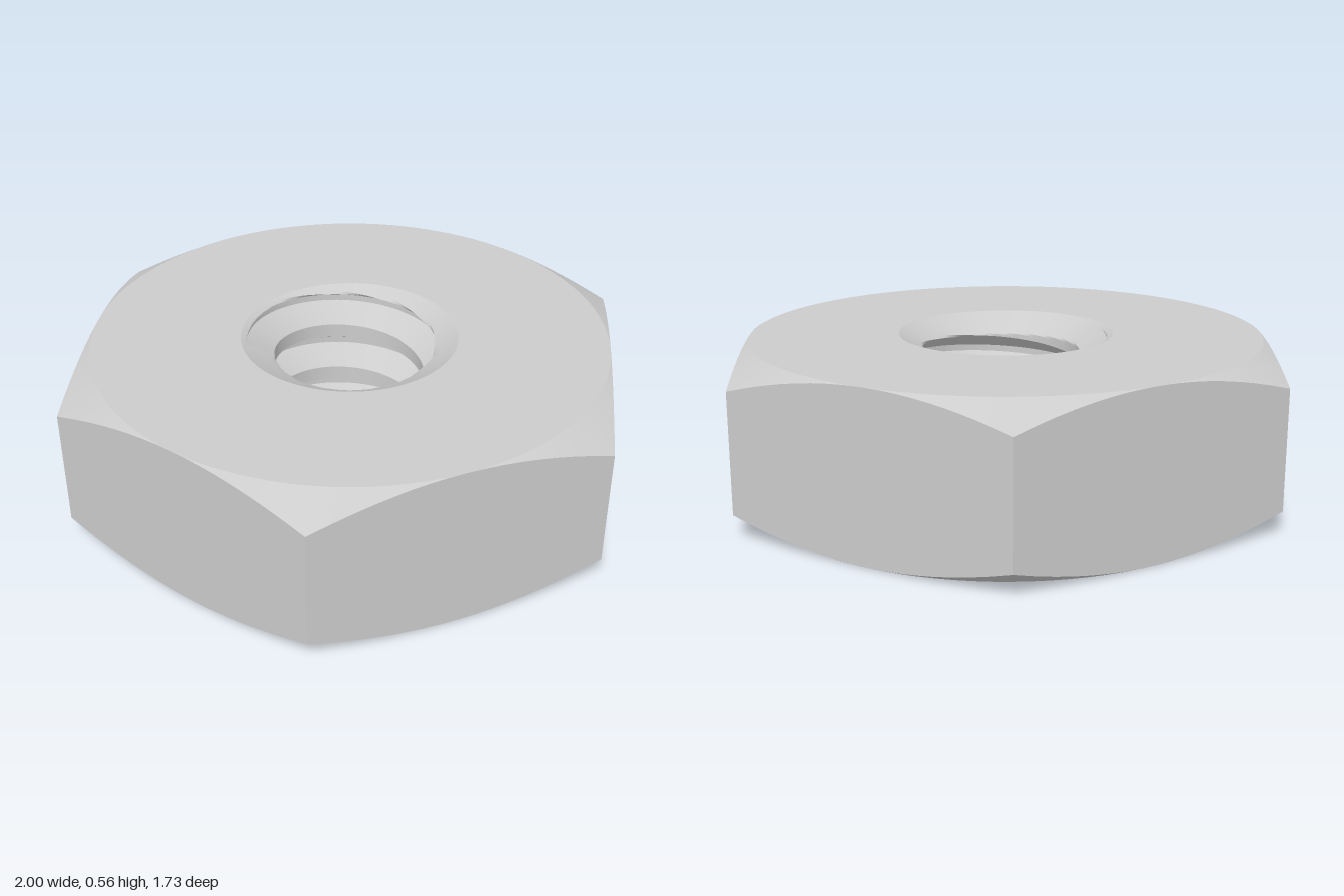
import * as THREE from 'three';
import { toCreasedNormals } from 'three/addons/utils/BufferGeometryUtils.js';

const HEIGHT = 0.555, APOTHEM = 0.866, SLOPE = Math.tan(Math.PI / 6);
const MOUTH = 0.365, MINOR = 0.255, MAJOR = 0.345, PITCH = 0.175;
const SEGMENTS = 96;

// Skin a list of closed rows; each row is a function angle -> [radius, y]
function loft(rows) {
  const positions = [];
  const points = rows.map((row) => Array.from({ length: SEGMENTS + 1 }, (_, j) => {
    const a = (j / SEGMENTS) * Math.PI * 2;
    const [r, y] = row(a);
    return new THREE.Vector3(-r * Math.cos(a), y, -r * Math.sin(a));
  }));
  const side = new THREE.Vector3(), other = new THREE.Vector3();
  const triangle = (a, b, c) => {
    side.subVectors(b, a);
    other.subVectors(c, a);
    if (side.cross(other).length() < 1e-9) return; // skip collapsed faces
    for (const p of [a, b, c]) positions.push(p.x, p.y, p.z);
  };
  for (let i = 0; i + 1 < points.length; i++) {
    for (let j = 0; j < SEGMENTS; j++) {
      const a = points[i], b = points[i + 1];
      triangle(a[j], a[j + 1], b[j + 1]);
      triangle(a[j], b[j + 1], b[j]);
    }
  }
  const geometry = new THREE.BufferGeometry();
  geometry.setAttribute('position', new THREE.Float32BufferAttribute(positions, 3));
  return toCreasedNormals(geometry, 0.4);
}

// Distance from the axis to the hexagon's edge, corners on the x axis
function hexRadius(a) {
  const sector = Math.PI / 3;
  return APOTHEM / Math.cos((a % sector) - sector / 2);
}

// Hexagon with both faces cut by a 30 degree cone
function bodyGeometry() {
  const drop = (a) => (hexRadius(a) - APOTHEM) * SLOPE;
  return loft([
    () => [MOUTH, HEIGHT],
    () => [APOTHEM, HEIGHT],
    (a) => [hexRadius(a), HEIGHT - drop(a)],
    (a) => [hexRadius(a), drop(a)],
    () => [APOTHEM, 0],
    () => [MOUTH, 0],
  ]);
}

// Right-handed thread, widened at both ends by a countersink
function boreGeometry() {
  const flank = (MAJOR - MINOR) * SLOPE, root = PITCH / 8;
  // one pitch of the profile, going up: [height, radius]
  const profile = [
    [0, MAJOR], [root, MAJOR], [root + flank, MINOR], [PITCH - flank, MINOR], [PITCH, MAJOR],
  ];
  const start = HEIGHT - 0.0115 - root;
  const steps = 6, rows = [];
  for (let turn = -4; turn <= 1; turn++) {
    for (let s = 0; s < 4; s++) {
      for (let k = 0; k < steps; k++) {
        const t = k / steps;
        const offset = THREE.MathUtils.lerp(profile[s][0], profile[s + 1][0], t);
        const radius = THREE.MathUtils.lerp(profile[s][1], profile[s + 1][1], t);
        rows.push((a) => {
          const helix = start + turn * PITCH + offset - (PITCH * a) / (Math.PI * 2);
          const y = THREE.MathUtils.clamp(helix, 0, HEIGHT);
          const countersink = MOUTH - Math.min(y, HEIGHT - y) / SLOPE;
          return [Math.max(radius, countersink), y];
        });
      }
    }
  }
  return loft(rows);
}

export function createModel() {
  const group = new THREE.Group();
  group.name = 'hexNut';
  const material = new THREE.MeshStandardMaterial({ color: 0xcccccc });
  const add = (name, geometry) => {
    const mesh = new THREE.Mesh(geometry, material);
    mesh.name = name;
    group.add(mesh);
  };
  add('hexBody', bodyGeometry());
  add('threadedBore', boreGeometry());
  return group;
}
